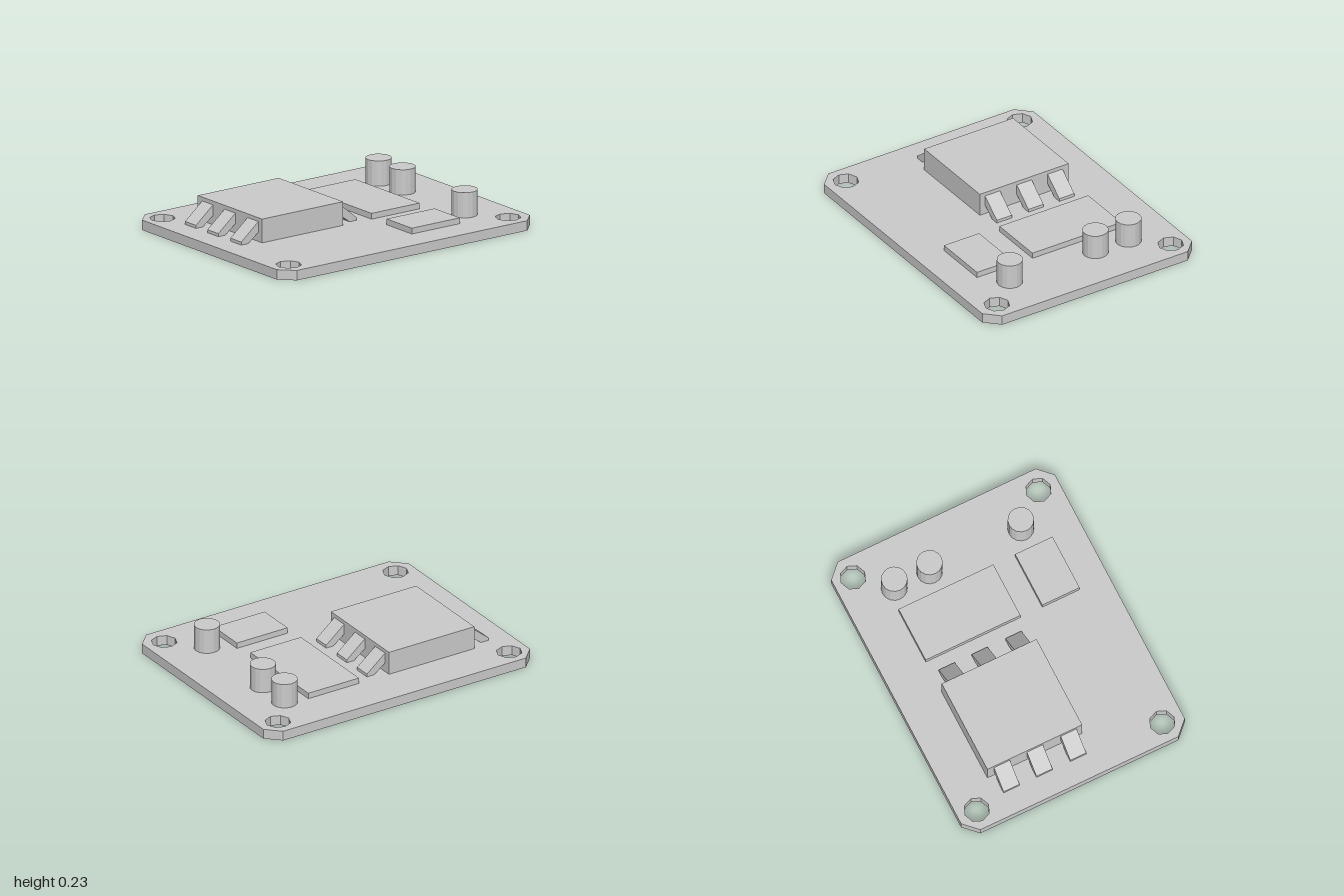
import * as THREE from 'three';

const BOARD_TOP = 0.065;
const material = new THREE.MeshStandardMaterial({ color: 0xcccccc, flatShading: true });

function addMesh(parent, name, geometry) {
  const mesh = new THREE.Mesh(geometry, material);
  mesh.name = name;
  parent.add(mesh);
  return mesh;
}

// Box standing on the board, given by its x and z limits and its top height
function addBlock(parent, name, x0, x1, z0, z1, top) {
  const mesh = addMesh(parent, name, new THREE.BoxGeometry(x1 - x0, top - BOARD_TOP, z1 - z0));
  mesh.position.set((x0 + x1) / 2, (top + BOARD_TOP) / 2, (z0 + z1) / 2);
}

function polygon(points) {
  return points.map(([x, y]) => new THREE.Vector2(x, y));
}

// Chamfered plate with an octagonal mounting hole in each corner
function boardGeometry() {
  const w = 1, d = 0.785, c = 0.09;
  const shape = new THREE.Shape(polygon([
    [-w + c, -d], [w - c, -d], [w, -d + c], [w, d - c],
    [w - c, d], [-w + c, d], [-w, d - c], [-w, -d + c],
  ]));
  for (const x of [-0.87, 0.865]) {
    for (const y of [-0.647, 0.655]) {
      const ring = [];
      for (let i = 0; i < 8; i++) {
        const a = -i * Math.PI / 4;
        ring.push([x + 0.082 * Math.cos(a), y + 0.082 * Math.sin(a)]);
      }
      shape.holes.push(new THREE.Path(polygon(ring)));
    }
  }
  const geometry = new THREE.ExtrudeGeometry(shape, { depth: BOARD_TOP, bevelEnabled: false });
  return geometry.rotateX(-Math.PI / 2);
}

// Sloping leg, running from the chip side (x = 0) down to the board
function legGeometry(side) {
  const points = [[0, 0.195], [0, 0.125], [0.08, BOARD_TOP], [0.135, BOARD_TOP], [0.135, 0.085]];
  const shape = new THREE.Shape(polygon(points.map(([x, y]) => [x * side, y])));
  return new THREE.ExtrudeGeometry(shape, { depth: 0.112, bevelEnabled: false });
}

export function createModel() {
  const model = new THREE.Group();
  model.name = 'circuitBoard';

  addMesh(model, 'board', boardGeometry());

  // Large chip with three legs on each side
  const chip = new THREE.Group();
  chip.name = 'mainChip';
  model.add(chip);
  addBlock(chip, 'chipBody', -0.71, -0.07, -0.5, 0.165, 0.22);
  for (const [side, x] of [[-1, -0.71], [1, -0.07]]) {
    for (const z of [-0.454, -0.223, 0.014]) {
      addMesh(chip, 'chipLeg', legGeometry(side)).position.set(x, 0, z);
    }
  }

  // Thin flat chips
  addBlock(model, 'flatChip', 0.155, 0.535, -0.5, 0.165, 0.103);
  addBlock(model, 'smallFlatChip', 0.155, 0.535, 0.318, 0.58, 0.103);

  // Round capacitors
  const height = 0.23 - BOARD_TOP;
  for (const z of [-0.455, -0.208, 0.433]) {
    const can = addMesh(model, 'capacitor', new THREE.CylinderGeometry(0.083, 0.083, height, 16));
    can.position.set(0.685, BOARD_TOP + height / 2, z);
  }

  return model;
}
